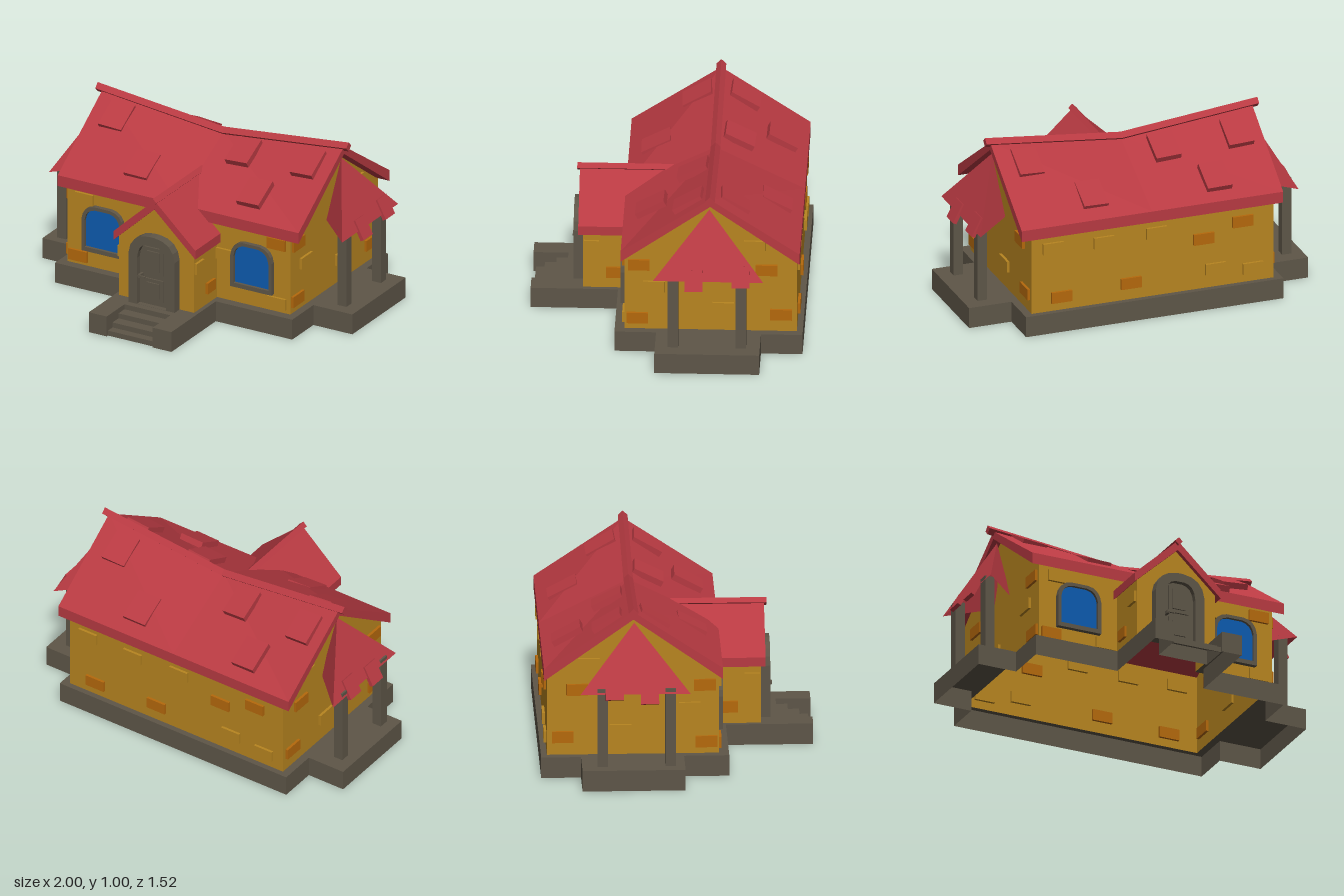
import * as THREE from 'three';

const mat = (name, color, opts = {}) => {
  const m = new THREE.MeshStandardMaterial({ color, side: THREE.DoubleSide, flatShading: true, ...opts });
  m.name = name;
  return m;
};

// Joins equal loops of points into a flat-shaded, capped solid
function loft(sections, caps = true) {
  const pos = [], n = sections[0].length;
  const tri = (a, b, c) => pos.push(...a, ...b, ...c);
  for (let s = 0; s < sections.length - 1; s++) {
    const A = sections[s], B = sections[s + 1];
    for (let i = 0; i < n; i++) {
      const j = (i + 1) % n;
      tri(A[i], A[j], B[j]);
      tri(A[i], B[j], B[i]);
    }
  }
  if (caps) {
    const first = sections[0], last = sections[sections.length - 1];
    for (let i = 1; i < n - 1; i++) {
      tri(first[0], first[i + 1], first[i]);
      tri(last[0], last[i], last[i + 1]);
    }
  }
  const g = new THREE.BufferGeometry();
  g.setAttribute('position', new THREE.Float32BufferAttribute(pos, 3));
  g.computeVertexNormals();
  return g;
}

const poly = pts => new THREE.Shape(pts.map(([x, y]) => new THREE.Vector2(x, y)));

// Arched outline for the windows and the door
function arch(cx, w, y0, ys, y1, flat) {
  const s = new THREE.Shape();
  s.moveTo(cx - w, y0);
  s.lineTo(cx + w, y0);
  s.lineTo(cx + w, ys);
  s.quadraticCurveTo(cx + w * 0.93, y1 - 0.008, cx + w * flat, y1);
  s.lineTo(cx - w * flat, y1);
  s.quadraticCurveTo(cx - w * 0.93, y1 - 0.008, cx - w, ys);
  s.closePath();
  return s;
}

export function createModel() {
  const group = new THREE.Group();
  group.name = 'cottage';
  const red = mat('roofRed', 0xb83a42), yellow = mat('wallYellow', 0xb88520);
  const orange = mat('brickOrange', 0xb5690c), stone = mat('stoneGrey', 0x5e5648);
  const blue = mat('windowBlue', 0x0d5bb0);
  const add = (name, geo, m, x = 0, y = 0, z = 0) => {
    const mesh = new THREE.Mesh(geo, m);
    mesh.name = name;
    mesh.position.set(x, y, z);
    group.add(mesh);
    return mesh;
  };
  const box = (name, w, h, d, m, x, y, z) => add(name, new THREE.BoxGeometry(w, h, d), m, x, y, z);
  const extrude = (shape, depth) =>
    new THREE.ExtrudeGeometry(shape, { depth, bevelEnabled: false, curveSegments: 4 });

  // Hollow stone base: floor with the house cut out, and outer sides
  const H = 0.12, XL = -0.725, XR = 0.705, ZF = 0.225, ZB = -0.727;
  const VL = -0.245, VR = 0.235, VZ = 0.475, VC = -0.005;
  const outline = [[-0.77, -0.76], [0.75, -0.76], [0.75, -0.53], [1, -0.53], [1, 0.05], [0.75, 0.05],
    [0.75, 0.28], [0.26, 0.28], [0.26, 0.763], [0.14, 0.763], [0.14, 0.57], [-0.155, 0.57],
    [-0.155, 0.763], [-0.27, 0.763], [-0.27, 0.28], [-0.77, 0.28], [-0.77, 0.03], [-1, 0.03],
    [-1, -0.54], [-0.77, -0.54]];
  const flip = pts => pts.map(([x, z]) => [x, -z]);
  const floor = poly(flip(outline));
  floor.holes.push(poly(flip([[XL, ZB], [XR, ZB], [XR, ZF], [VR, ZF], [VR, VZ], [VL, VZ], [VL, ZF], [XL, ZF]])));
  add('baseFloor', new THREE.ShapeGeometry(floor), stone, 0, H, 0).rotation.x = -Math.PI / 2;
  const ring = y => outline.map(([x, z]) => [x, y, z]);
  add('baseSides', loft([ring(H), ring(0)], false), stone);

  // Front steps, each a tread and a riser
  [0.57, 0.635, 0.7].forEach((z, i) => {
    const y = 0.09 - i * 0.03, z1 = [0.635, 0.7, 0.75][i];
    box('stepTread', 0.295, 0.004, z1 - z, stone, -0.0075, y - 0.002, (z + z1) / 2);
    box('stepRiser', 0.295, 0.03, 0.004, stone, -0.0075, y - 0.015, z1 - 0.002);
  });

  // House walls, open below and into the entrance
  const sheet = (name, pts, x, z, turned) => {
    const m = add(name, new THREE.ShapeGeometry(poly(pts)), yellow, x, 0, z);
    if (turned) m.rotation.y = -Math.PI / 2; // shape x runs along z
  };
  sheet('frontWall', [[XL, H], [VL, H], [VL, 0.49], [VC, 0.7], [VR, 0.49], [VR, H], [XR, H], [XR, 0.6], [VC + 0.1, 0.6],
    [VC, 0.7], [VC - 0.1, 0.6], [XL, 0.6]].filter((p, i) => i < 2 || i > 4 || i === 2 || i === 4)
    .filter(p => p[1] !== 0.7), 0, ZF);
  sheet('backWall', [[XL, H], [XR, H], [XR, 0.6], [XL, 0.6]], 0, ZB);
  for (const x of [XL, XR])
    sheet('gableWall', [[ZF, H], [ZF, 0.588], [-0.25, 0.928], [ZB, 0.588], [ZB, H]], x, 0, true);
  sheet('entranceFront', [[VL, H], [VR, H], [VR, 0.485], [VC, 0.705], [VL, 0.485]], 0, VZ);
  for (const x of [VL, VR])
    sheet('entranceSide', [[ZF, H], [VZ, H], [VZ, 0.485], [ZF, 0.485]], x, 0, true);

  // Main roof, sagging in the middle
  const RZ = -0.25, HALF = 0.495, EAVE = 0.635;
  const ridgeY = x => 0.885 + 0.085 * Math.abs(x) / 0.775;
  add('mainRoof', loft([-0.775, 0, 0.77].map(x => {
    const r = ridgeY(x);
    return [[x, r, RZ], [x, EAVE, RZ + HALF], [x, 0.57, RZ + HALF], [x, r - 0.045, RZ],
      [x, 0.57, RZ - HALF], [x, EAVE, RZ - HALF]];
  })), red);
  const diamond = (r, f) => [[0, r], [r, 0], [0, -r], [-r, 0]].map(([a, b]) => f(a, b));
  add('ridgeBeam', loft([[-0.81, 0.973], [0, 0.888], [0.8, 0.973]].map(([x, y]) =>
    diamond(0.027, (a, b) => [x, y + b, RZ - a]))), red);

  // Loose roof tiles: centre x, centre z
  for (const [x, z] of [[-0.615, -0.13], [0.195, -0.135], [0.615, -0.125], [-0.325, 0.085], [0.4, 0.09],
    [-0.425, -0.605], [0.305, -0.6], [-0.635, -0.39], [-0.21, -0.375], [0.6, -0.38]]) {
    const t = Math.abs(z - RZ) / HALF, side = Math.sign(z - RZ), r = ridgeY(x);
    const tile = box('roofTile', 0.145, 0.035, 0.18, red, x, r + (EAVE - r) * t + 0.008, z);
    tile.rotation.set(side * (Math.atan((r - EAVE) / HALF) - 0.04), 0, Math.sign(x) * 0.1 * (1 - t));
  }

  // Entrance roof, its back end tapering into the main slope
  const chevron = (zTop, zEave) => [[VC, 0.755, zTop], [VC - 0.263, 0.51, zEave], [VC - 0.263, 0.457, zEave],
    [VC, 0.7, zTop], [VC + 0.263, 0.457, zEave], [VC + 0.263, 0.51, zEave]];
  add('entranceRoof', loft([chevron(0.02, 0.222), chevron(0.5, 0.5)]), red);
  add('entranceRidge', loft([-0.02, 0.515].map(z => diamond(0.023, (a, b) => [VC - a, 0.748 + b, z]))), red);

  // Side porches: hood, hanging tiles and posts
  for (const s of [1, -1]) {
    const apex = [s * 0.755, 0.9, -0.245];
    const f = [s * 0.94, 0.545, 0.06], b = [s * 0.94, 0.545, -0.55];
    const fi = [s * 0.71, 0.545, -0.16], bi = [s * 0.71, 0.545, -0.33];
    const pos = [apex, f, b, apex, fi, f, apex, b, bi];
    // keep outward winding on the mirrored side
    if (s < 0) for (let i = 0; i < 9; i += 3) [pos[i + 1], pos[i + 2]] = [pos[i + 2], pos[i + 1]];
    const g = new THREE.BufferGeometry();
    g.setAttribute('position', new THREE.Float32BufferAttribute(pos.flat(), 3));
    g.computeVertexNormals();
    add('porchHood', g, red);
    for (const [z, y] of [[-0.165, 0.548], [s > 0 ? -0.425 : -0.36, 0.57]])
      box('hoodTile', 0.022, 0.12, 0.1, red, s * (0.94 - (y - 0.545) * 0.52), y, z).rotation.z = s * 0.48;
    for (const z of [-0.05, -0.425])
      box('porchPost', 0.056, 0.455, 0.058, stone, s > 0 ? 0.892 : -0.907, H + 0.2275, z);
  }

  // Arched windows
  for (const x of [-0.487, 0.468]) {
    const frame = arch(x, 0.132, 0.22, 0.41, 0.497, 0.4);
    frame.holes.push(arch(x, 0.112, 0.245, 0.405, 0.478, 0.4));
    add('windowFrame', extrude(frame, 0.027), stone, 0, 0, ZF);
    add('windowPane', new THREE.ShapeGeometry(arch(x, 0.116, 0.24, 0.405, 0.48, 0.4), 4), blue, 0, 0, ZF + 0.01);
  }

  // Door with frame, panels and handle
  const doorFrame = arch(VC, 0.148, H, 0.42, 0.543, 0.12);
  doorFrame.holes.push(arch(VC, 0.093, H + 0.001, 0.4, 0.492, 0.3));
  add('doorFrame', extrude(doorFrame, 0.055), stone, 0, 0, VZ);
  add('doorLeaf', extrude(arch(VC, 0.095, H, 0.4, 0.494, 0.3), 0.025), stone, 0, 0, VZ);
  for (const [y, h] of [[0.39, 0.16], [0.215, 0.13]]) {
    box('doorPanelRim', 0.12, h, 0.012, stone, VC, y, VZ + 0.028);
    box('doorPanel', 0.08, h - 0.04, 0.012, stone, VC, y, VZ + 0.036);
  }
  box('handleStem', 0.014, 0.02, 0.04, stone, -0.08, 0.295, VZ + 0.045);
  box('handleLever', 0.045, 0.01, 0.01, stone, -0.065, 0.295, VZ + 0.062);

  // Bricks standing proud of the walls: centre along the wall, y, orange or not
  const brick = (w, d, x, y, z, o) => box('brick', w, 0.065, d, o ? orange : yellow, x, y, z);
  for (const [x, y, o] of [[-0.612, 0.525], [-0.32, 0.175], [0.285, 0.392], [0.622, 0.175],
    [-0.652, 0.173, 1], [0.62, 0.53, 1]]) brick(0.117, 0.03, x, y, ZF, o);
  for (const [x, y, o] of [[0.58, 0.5], [0.53, 0.2, 1], [0.28, 0.49], [0.12, 0.22, 1], [-0.03, 0.5],
    [-0.31, 0.42, 1], [-0.38, 0.23], [-0.54, 0.49, 1], [-0.6, 0.2]]) brick(0.12, 0.03, x, y, ZB, o);
  for (const wall of [XL, XR])
    for (const [z, y, o] of [[0.147, 0.522, 1], [0.155, 0.19, 1], [-0.56, 0.502, 1], [-0.64, 0.225, 1],
      [0.063, 0.388], [-0.32, 0.262], [-0.495, 0.652]]) brick(0.03, 0.12, wall, y, z, o);
  for (const wall of [VL, VR])
    for (const [z, y, o] of [[0.427, 0.382], [0.305, 0.218, 1]]) brick(0.03, 0.085, wall, y, z, o);

  return group;
}
